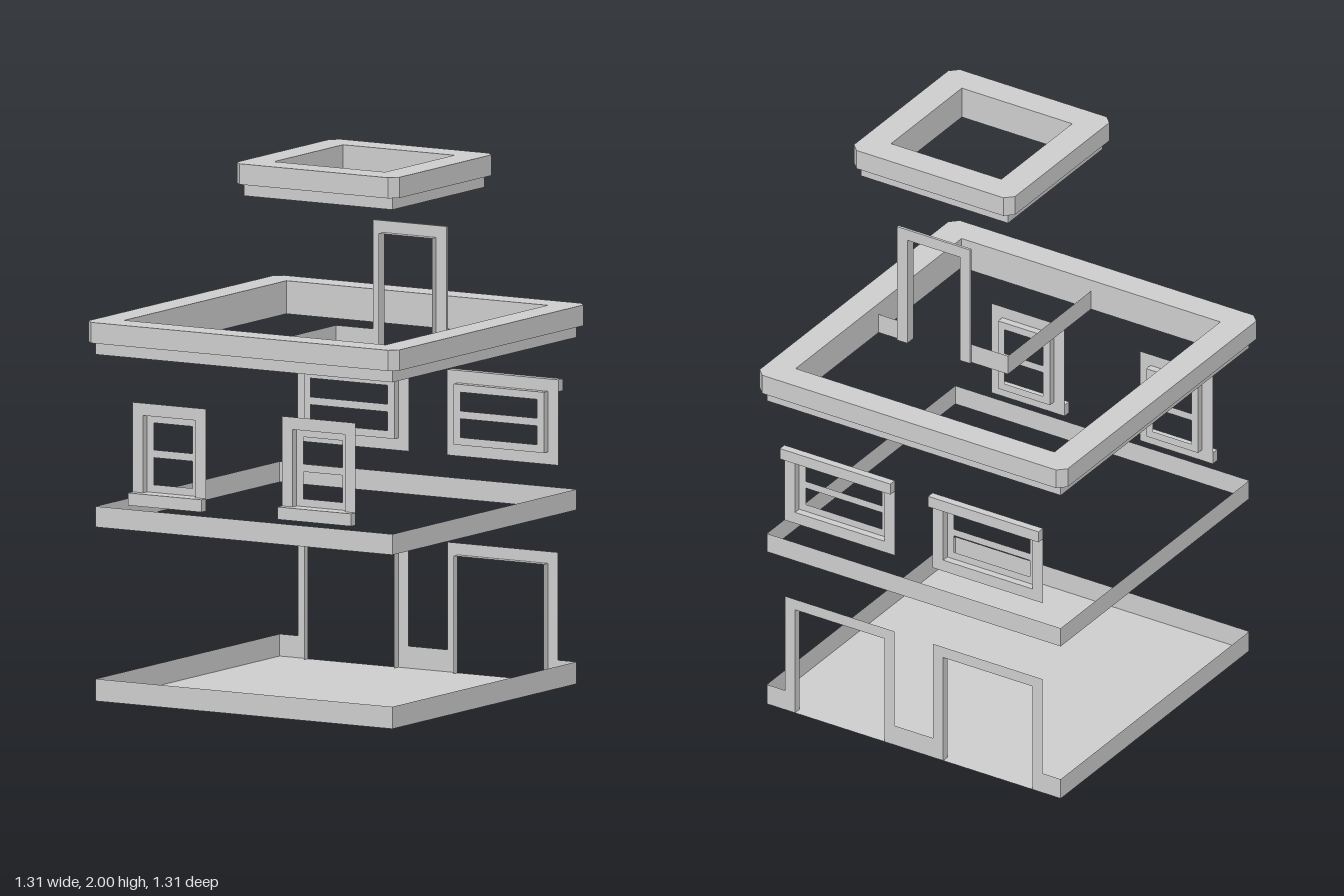
import * as THREE from 'three';

const W = 0.625; // half width of the walls
const plaster = new THREE.MeshStandardMaterial({ color: 0xcccccc, side: THREE.DoubleSide });
plaster.name = 'plaster grey';

function add(group, name, geometry) {
  const mesh = new THREE.Mesh(geometry, plaster);
  mesh.name = name;
  group.add(mesh);
  return mesh;
}

function subgroup(parent, name) {
  const group = new THREE.Group();
  group.name = name;
  parent.add(group);
  return group;
}

// Counter-clockwise corner points
const rect = (x0, y0, x1, y1) => [[x0, y0], [x1, y0], [x1, y1], [x0, y1]];
const square = (h) => rect(-h, -h, h, h);
const chamfered = (h, c) => [
  [-h + c, -h], [h - c, -h], [h, -h + c], [h, h - c],
  [h - c, h], [-h + c, h], [-h, h - c], [-h, -h + c],
];
const flip = (pts) => [...pts].reverse();

// Flat face in XY with optional holes
function plate(outer, ...holes) {
  const vec = (pts) => pts.map(([x, y]) => new THREE.Vector2(x, y));
  const shape = new THREE.Shape(vec(outer));
  holes.forEach((h) => shape.holes.push(new THREE.Path(vec(h))));
  return new THREE.ShapeGeometry(shape);
}

// Strip of wall following XY points, reaching from z = a to z = b
function ribbon(pts, a, b, closed = true) {
  const pos = [];
  const count = closed ? pts.length : pts.length - 1;
  for (let i = 0; i < count; i++) {
    const p = pts[i];
    const q = pts[(i + 1) % pts.length];
    pos.push(...p, a, ...q, a, ...q, b, ...p, a, ...q, b, ...p, b);
  }
  const geometry = new THREE.BufferGeometry();
  geometry.setAttribute('position', new THREE.Float32BufferAttribute(pos, 3));
  geometry.computeVertexNormals();
  return geometry;
}

// Lay XY geometry down so that z becomes height
const lay = (geometry) => geometry.rotateX(-Math.PI / 2);

// Hollow cornice: band, wider chamfered crown, top ring and inner wall
function cornice(parent, name, wall, hole, y0, y1, y2, capped) {
  const g = subgroup(parent, name);
  const crown = chamfered(wall + 0.03, 0.03);
  add(g, 'corniceBand', lay(ribbon(square(wall), y0, y1)));
  add(g, 'corniceCrown', lay(ribbon(crown, y1, y2)));
  add(g, 'corniceTop', lay(plate(crown, square(hole)).translate(0, 0, y2)));
  add(g, 'parapetInside', lay(ribbon(flip(square(hole)), y0, y2)));
  const under = (outer, inner, y) =>
    plate(outer, inner).rotateX(Math.PI / 2).translate(0, y, 0);
  add(g, 'corniceSoffit', under(crown, square(wall), y1));
  if (capped) add(g, 'corniceUnderside', under(square(wall), square(hole), y0));
  return g;
}

// Window facing +z at z = 0: flat casing, reveal and a two-pane sash
function makeWindow(parent, name, halfOpening, bottom, top) {
  const g = subgroup(parent, name);
  const h = halfOpening, t = 0.045, s = 0.028, depth = 0.028;
  const opening = rect(-h, bottom, h, top);
  add(g, 'casing', plate(rect(-h - t, bottom - t, h + t, top + t), opening));
  add(g, 'reveal', ribbon(flip(opening), -depth, 0));
  const mid = (bottom + top) / 2;
  add(g, 'sash', plate(opening,
    rect(-h + s, bottom + s, h - s, mid - s / 2),
    rect(-h + s, mid + s / 2, h - s, top - s))).position.z = -depth;
  return g;
}

// Doorway facing +z at z = 0, open down to the floor
function makeDoorway(parent, name, halfOpening, y0, thickness) {
  const g = subgroup(parent, name);
  const h = halfOpening, t = 0.043, top = y0 + 0.427;
  const outline = [
    [-h - t, y0], [-h, y0], [-h, top], [h, top], [h, y0],
    [h + t, y0], [h + t, top + t], [-h - t, top + t],
  ];
  add(g, 'doorCasing', plate(outline)).position.z = thickness;
  if (thickness) {
    add(g, 'doorCasingEdge', ribbon(outline, 0, thickness));
    add(g, 'doorCasingBack', plate(outline).rotateY(Math.PI));
  }
  add(g, 'doorReveal', ribbon([[-h, y0], [-h, top], [h, top], [h, y0]], -0.03, 0, false));
  return g;
}

export function createModel() {
  const model = new THREE.Group();
  model.name = 'building';

  // Ground floor slab and skirting, broken at the back doorways
  add(model, 'groundFloor', lay(plate(square(W))));
  add(model, 'baseSkirt', lay(ribbon([[-W, W], [-W, -W], [W, -W], [W, W]], 0, 0.08, false)));
  for (const [a, b] of [[-W, -0.545], [-0.085, 0.085], [0.545, W]]) {
    add(model, 'backSkirt', lay(ribbon([[b, W], [a, W]], 0, 0.08, false)));
  }

  // Belt course between the storeys
  add(model, 'beltCourse', lay(ribbon(square(W), 0.63, 0.705)));

  for (const side of [-1, 1]) {
    const x = side * 0.315;

    // Back doorways
    const door = makeDoorway(model, 'backDoorway', 0.19, 0, 0);
    door.position.set(x, 0, -W);
    door.rotation.y = Math.PI;

    // Front windows with sills
    const front = makeWindow(model, 'frontWindow', 0.11, 0.77, 1.05);
    front.position.set(x, 0, W);
    add(front, 'sill', new THREE.BoxGeometry(0.31, 0.045, 0.03)).position.set(0, 0.7475, 0.015);

    // Back windows with lintels
    const back = makeWindow(model, 'backWindow', 0.19, 0.83, 1.05);
    back.position.set(x, 0, -W);
    back.rotation.y = Math.PI;
    add(back, 'lintel', new THREE.BoxGeometry(0.47, 0.043, 0.03)).position.set(0, 1.0735, 0.015);
  }

  // Main roof cornice
  cornice(model, 'mainCornice', W, 0.55, 1.255, 1.3, 1.375, false);

  // Roof turret: skirting, doorway and its own cornice
  const turret = subgroup(model, 'turret');
  for (const [a, b] of [[0, 0.155], [0.465, 0.55]]) {
    add(turret, 'turretBackSkirt', lay(ribbon([[b, 0], [a, 0]], 1.255, 1.33, false)));
  }
  add(turret, 'turretSideSkirt', lay(ribbon([[0, 0], [0, -0.55]], 1.255, 1.33, false)));
  const roofDoor = makeDoorway(turret, 'roofDoorway', 0.112, 1.255, 0.01);
  roofDoor.position.set(0.31, 0, 0);
  roofDoor.rotation.y = Math.PI;
  cornice(turret, 'turretCornice', 0.3125, 0.2345, 1.88, 1.925, 2, true)
    .position.set(0.3125, 0, 0.3125);

  return model;
}
